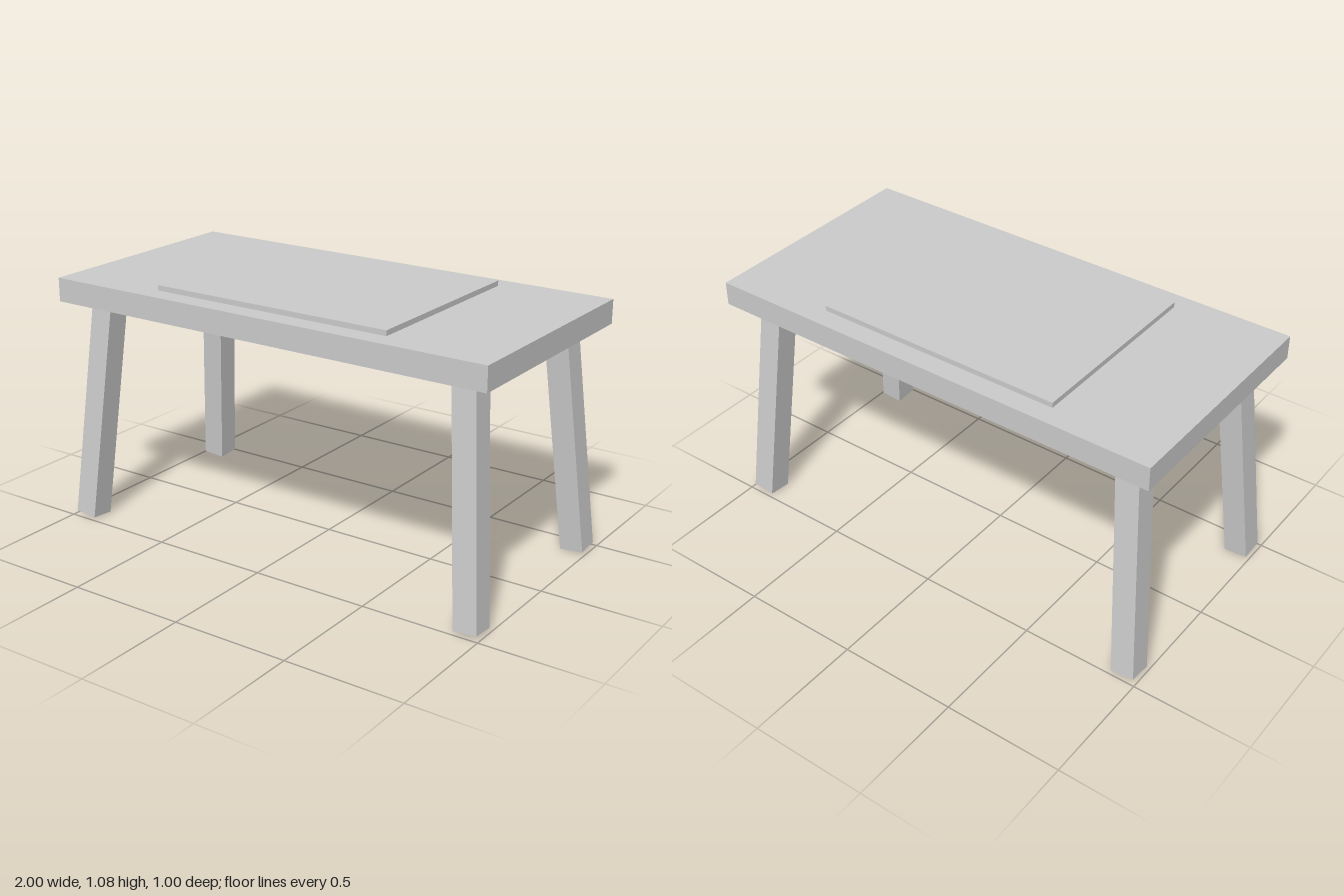
import * as THREE from 'three';

export function createModel() {
  const table = new THREE.Group();
  table.name = 'table';
  const material = new THREE.MeshStandardMaterial({ color: 0xcccccc, flatShading: true });

  // Box whose origin is the middle of its underside
  function box(name, width, height, depth, x, y, z) {
    const geometry = new THREE.BoxGeometry(width, height, depth).translate(0, height / 2, 0);
    const mesh = new THREE.Mesh(geometry, material);
    mesh.name = name;
    mesh.position.set(x, y, z);
    table.add(mesh);
    return mesh;
  }

  // Top slab and the thin panel lying on it
  box('tabletop', 2, 0.1, 1, 0, 0.957, 0);
  box('topPanel', 1.076, 0.022, 0.83, 0, 1.057, 0);

  // Four square legs, splayed outwards in both directions and let into the slab
  const splay = THREE.MathUtils.degToRad(5);
  for (const sx of [1, -1]) {
    for (const sz of [1, -1]) {
      const name = (sz > 0 ? 'front' : 'back') + (sx > 0 ? 'Left' : 'Right') + 'Leg';
      const leg = box(name, 0.1, 1, 0.1, sx * 0.938, 0.0087, sz * 0.438);
      leg.rotation.set(-sz * splay, 0, sx * splay);
    }
  }
  return table;
}
